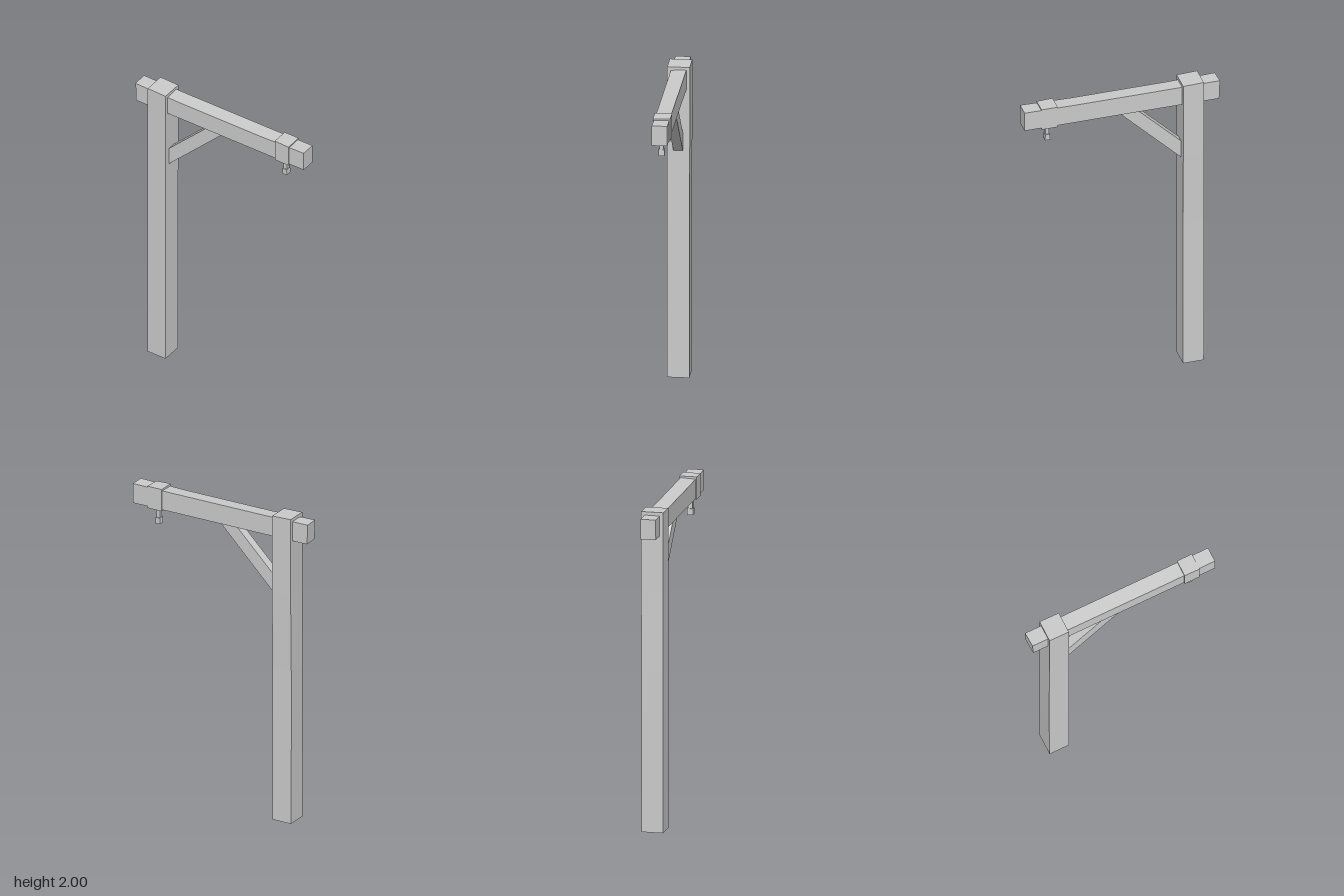
import * as THREE from 'three';

const material = new THREE.MeshStandardMaterial({ color: 0xcccccc, flatShading: true });

function add(group, name, geometry, x = 0, y = 0, z = 0) {
  const mesh = new THREE.Mesh(geometry, material);
  mesh.name = name;
  mesh.position.set(x, y, z);
  group.add(mesh);
  return mesh;
}

// Box given by its limits, with an optional rule that bends its vertices
function block(x0, x1, y0, y1, z0, z1, segX = 1, segY = 1, warp = null) {
  const geo = new THREE.BoxGeometry(x1 - x0, y1 - y0, z1 - z0, segX, segY, 1);
  geo.translate((x0 + x1) / 2, (y0 + y1) / 2, (z0 + z1) / 2);
  if (warp) {
    const p = geo.attributes.position;
    const v = new THREE.Vector3();
    for (let i = 0; i < p.count; i++) {
      warp(v.fromBufferAttribute(p, i));
      p.setXYZ(i, v.x, v.y, v.z);
    }
    geo.computeVertexNormals();
  }
  return geo;
}

export function createModel() {
  const group = new THREE.Group();
  group.name = 'postWithArm';

  // Upright post, its back edge slightly hewn at mid height
  add(group, 'post', block(-0.51, -0.38, 0, 2, -0.066, 0.068, 1, 4, (v) => {
    if (v.x < -0.45 && v.y > 0.4 && v.y < 1.1) v.x -= 0.003;
    if (v.z < 0 && v.y > 1.2) v.z -= 0.003;
    if (v.y > 1.9 && v.x > -0.45) v.y -= 0.004;
  }));

  // Horizontal beam with a gently sagging top and a skewed left end
  add(group, 'beam', block(-0.618, 0.615, 1.853, 1.98, -0.048, 0.046, 4, 1, (v) => {
    if (v.y > 1.9 && Math.abs(v.x) < 0.5) v.y -= v.z < 0 ? 0.003 : 0.008;
    if (v.x < -0.5 && v.y < 1.9) v.x += 0.005;
    if (v.x < -0.5 && v.z > 0) v.x += 0.004;
  }));

  // Diagonal brace, cut to meet the post and the beam
  const outline = new THREE.Shape([
    new THREE.Vector2(-0.39, 1.45),
    new THREE.Vector2(0.02, 1.86),
    new THREE.Vector2(-0.095, 1.86),
    new THREE.Vector2(-0.39, 1.567),
  ]);
  add(group, 'brace', new THREE.ExtrudeGeometry(outline, { depth: 0.058, bevelEnabled: false }), 0, 0, -0.027);

  // Band around the beam near its free end
  add(group, 'band', block(0.408, 0.509, 1.845, 1.988, -0.054, 0.052, 1, 1, (v) => {
    if (v.x > 0.45 && v.y > 1.9 && v.z > 0) v.y -= 0.004;
  }));

  // Hanging peg with a wider, slightly flared end
  add(group, 'pegStem', block(0.448, 0.472, 1.77, 1.85, -0.01, 0.016));
  add(group, 'pegEnd', block(0.443, 0.476, 1.738, 1.777, -0.016, 0.022, 1, 1, (v) => {
    if (v.y > 1.76) v.x += (0.46 - v.x) * 0.1;
  }));

  return group;
}
